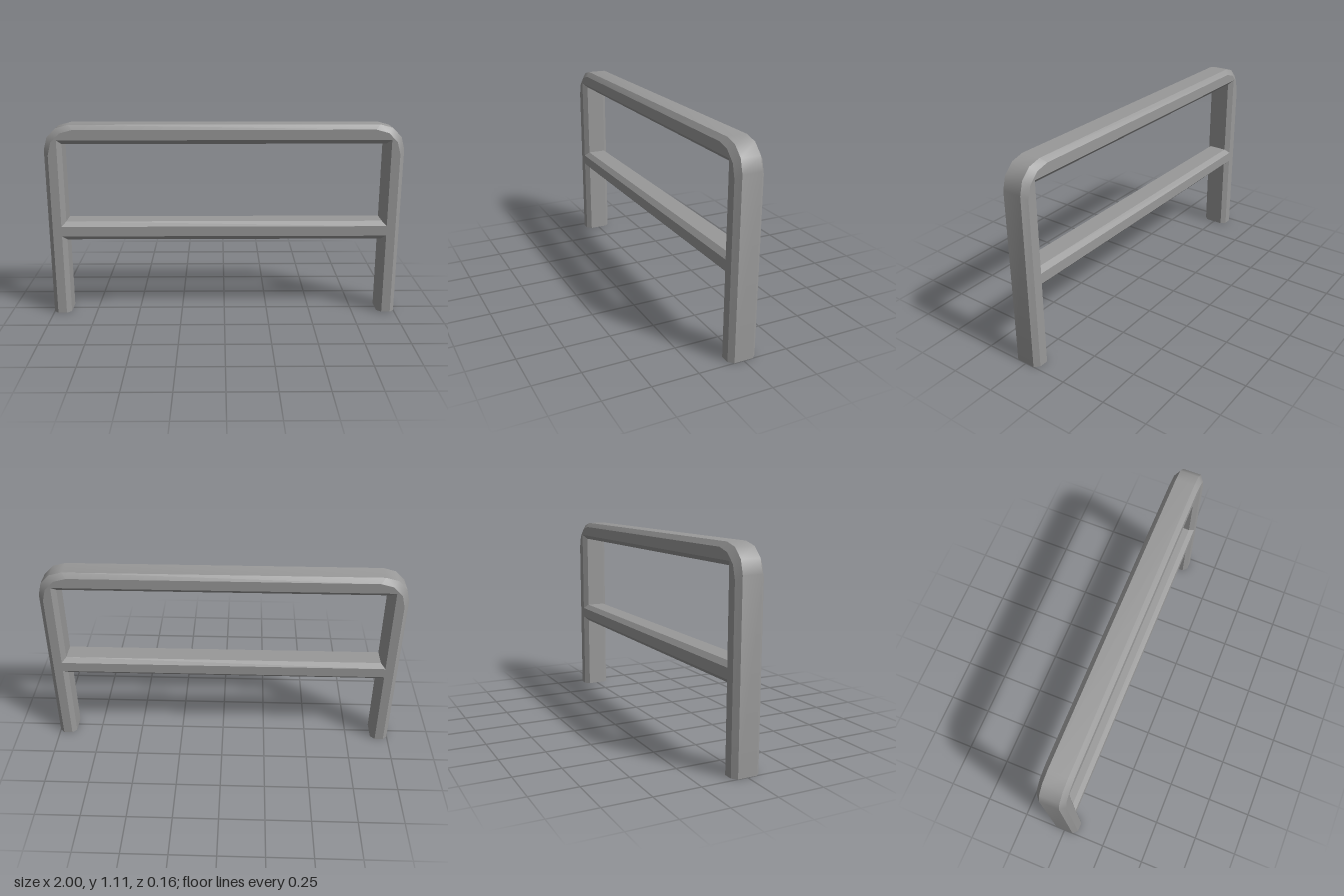
import * as THREE from 'three';
import { toCreasedNormals } from 'three/addons/utils/BufferGeometryUtils.js';

const HALF = 0.078;   // half depth of every bar
const BEVEL = 0.025;  // chamfer on the long edges
const RADIUS = 0.14;  // outer corner radius of the hoop
const TOP = 1.107;    // height of the hoop

// Eight-sided bar: outer(d) and inner(d) give the [x, y] stations of its two
// edges, moved inwards by d.
function chamferedBar(name, outer, inner, material) {
  const f = HALF - BEVEL;
  const edges = [
    [outer(0), f], [outer(BEVEL), HALF], [inner(BEVEL), HALF], [inner(0), f],
    [inner(0), -f], [inner(BEVEL), -HALF], [outer(BEVEL), -HALF], [outer(0), -f],
  ];
  const stations = edges[0][0].length;
  const positions = [], index = [];
  for (let i = 0; i < stations; i++) {
    edges.forEach(([line, z], j) => {
      positions.push(line[i][0], line[i][1], z);
      if (i === stations - 1) return;
      const a = i * 8 + j, b = i * 8 + (j + 1) % 8;
      index.push(a, b, b + 8, a, b + 8, a + 8);
    });
  }
  const geometry = new THREE.BufferGeometry();
  geometry.setAttribute('position', new THREE.Float32BufferAttribute(positions, 3));
  geometry.setIndex(index);
  const mesh = new THREE.Mesh(toCreasedNormals(geometry, 0.6), material);
  mesh.name = name;
  return mesh;
}

// Completes the right half of a line with its mirror image
const mirrored = (half) => [...half, ...half.map(([x, y]) => [-x, y]).reverse()];

export function createModel() {
  const group = new THREE.Group();
  group.name = 'barrier';
  const material = new THREE.MeshStandardMaterial({ color: 0x999999, side: THREE.DoubleSide });

  // Legs and top rail: rounded outside, square inside, open at the feet
  const hoopOuter = (d) => {
    const half = [[-1 + d, 0]];
    for (let k = 0; k <= 3; k++) {
      const a = k * Math.PI / 6;
      half.push([-1 + RADIUS + d - RADIUS * Math.cos(a), TOP - RADIUS - d + RADIUS * Math.sin(a)]);
    }
    return mirrored(half);
  };
  const hoopInner = (d) => mirrored([[-0.9 - d, 0], ...Array(4).fill([-0.9 - d, 1 + d])]);
  group.add(chamferedBar('hoopFrame', hoopOuter, hoopInner, material));

  // Middle rail, mitred into the chamfers of the legs
  const railTop = (d) => mirrored([[-0.9 - d, 0.553 - d]]);
  const railBottom = (d) => mirrored([[-0.9 - d, 0.446 + d]]);
  group.add(chamferedBar('middleRail', railTop, railBottom, material));

  return group;
}
